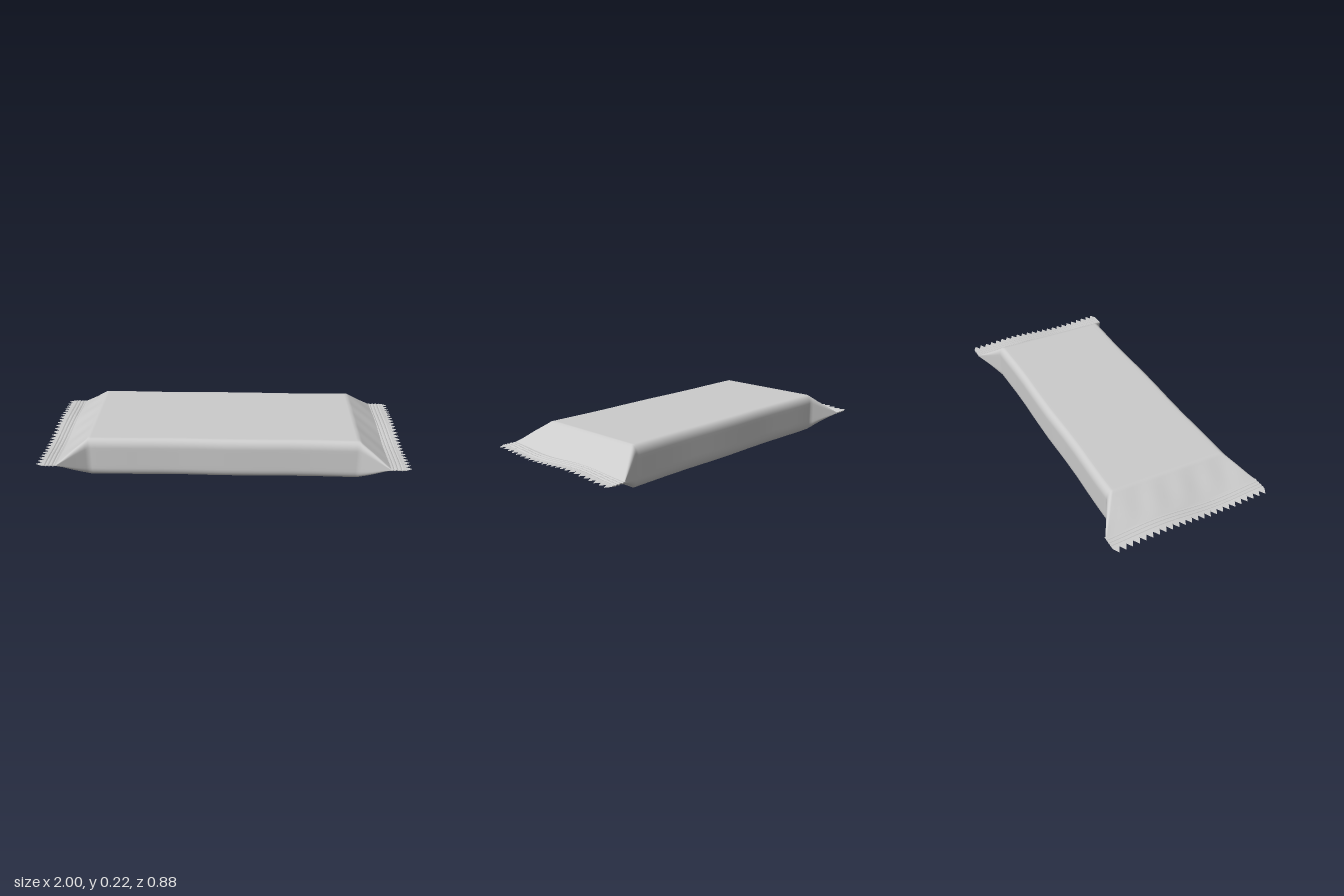
import * as THREE from 'three';
import { toCreasedNormals } from 'three/addons/utils/BufferGeometryUtils.js';

const { lerp, smoothstep } = THREE.MathUtils;
const HALF_WIDTH = 0.345, SEAL_WIDTH = 0.438, HALF_HEIGHT = 0.11;
const BEND = 0.73, SEAL_START = 0.885;

// Height of the gently waving seal line across the width
const sealY = (z) => 0.104 - 0.007 * Math.sin(10.5 * z);

// Skin a list of closed cross-sections (each an array of [x, y, z])
function loft(sections) {
  const n = sections[0].length, index = [];
  for (let i = 0; i < sections.length - 1; i++) {
    for (let j = 0; j < n; j++) {
      const a = i * n + j, b = i * n + (j + 1) % n;
      index.push(a, a + n, b, b, a + n, b + n);
    }
  }
  const geometry = new THREE.BufferGeometry();
  geometry.setAttribute('position', new THREE.Float32BufferAttribute(sections.flat(2), 3));
  geometry.setIndex(index);
  geometry.computeVertexNormals();
  return geometry;
}

// Rounded rectangle loop [z, y], starting on the +z side, with subdivided flats
function roundedLoop(w, h, rz, ry) {
  const points = [], corners = [[1, 1], [-1, 1], [-1, -1], [1, -1]];
  corners.forEach(([sz, sy], q) => {
    for (let k = 0; k <= 8; k++) {
      const a = (q + k / 8) * Math.PI / 2;
      points.push([sz * (w - rz) + rz * Math.cos(a), sy * (h - ry) + ry * Math.sin(a)]);
    }
    const [nz, ny] = corners[(q + 1) % 4];
    const [z0, y0] = points[points.length - 1];
    const onFlat = q % 2 === 0;
    const z1 = onFlat ? nz * (w - rz) : z0, y1 = onFlat ? y0 : ny * (h - ry);
    const steps = onFlat ? 32 : 6;
    for (let k = 1; k < steps; k++) points.push([lerp(z0, z1, k / steps), lerp(y0, y1, k / steps)]);
  });
  return points;
}

// Filled pouch that pinches flat and flares out towards both ends
function pouchSection(x) {
  const t = Math.max(0, (Math.abs(x) - BEND) / (SEAL_START + 0.005 - BEND));
  const w = lerp(HALF_WIDTH, SEAL_WIDTH, t) + 0.003 * Math.sin(9 * x + 1) * (1 - t);
  const h = lerp(HALF_HEIGHT, 0.003, t);
  return roundedLoop(w, h, lerp(0.035, 0.012, t), h * 0.45).map(([z, y]) => {
    const pucker = 0.0025 * Math.sin(38 * z) * Math.sin(Math.PI * t) * Math.sign(y);
    return [x, lerp(HALF_HEIGHT, sealY(z), t) + y + pucker, z];
  });
}

function pouchGeometry() {
  const half = [0.2, 0.35, 0.5, 0.62, 0.69, 0.715, 0.73, 0.745, 0.77, 0.8, 0.83, 0.86, 0.89];
  const xs = [...half.map((x) => -x).reverse(), 0, ...half];
  return loft(xs.map(pouchSection));
}

// Crimped end seal with ridges and a saw-tooth outer edge
function sealGeometry(side) {
  const teeth = 24, n = teeth * 2, columns = [];
  const ridgeCount = 12;
  for (let c = 0; c <= ridgeCount + 1; c++) {
    const tip = c === ridgeCount + 1;
    const ridge = c > 1 && c < ridgeCount - 1 ? (c % 3 === 0 ? -0.0025 : 0.001) : 0;
    const section = [];
    for (const layer of [1, -1]) {
      for (let j = 0; j <= n; j++) {
        const z = layer * lerp(SEAL_WIDTH, -SEAL_WIDTH, j / n);
        const wobble = 0.004 * Math.sin(7 * z) * (1 - smoothstep(c, 8, ridgeCount));
        const x = tip ? (j % 2 ? 1 : 0.968) : lerp(SEAL_START, 0.966, c / ridgeCount) + wobble;
        const y = sealY(z) + ridge + layer * (tip ? 0.001 : 0.0025);
        section.push([side * x, y, z]);
      }
    }
    columns.push(section);
  }
  if (side < 0) columns.reverse();
  return toCreasedNormals(loft(columns), 0.25);
}

export function createModel() {
  const group = new THREE.Group();
  group.name = 'wrapper';
  const material = new THREE.MeshStandardMaterial({ color: 0xcccccc, side: THREE.DoubleSide });
  const add = (name, geometry) => {
    const mesh = new THREE.Mesh(geometry, material);
    mesh.name = name;
    group.add(mesh);
  };
  add('pouch', pouchGeometry());
  add('leftSeal', sealGeometry(1));
  add('rightSeal', sealGeometry(-1));
  return group;
}
